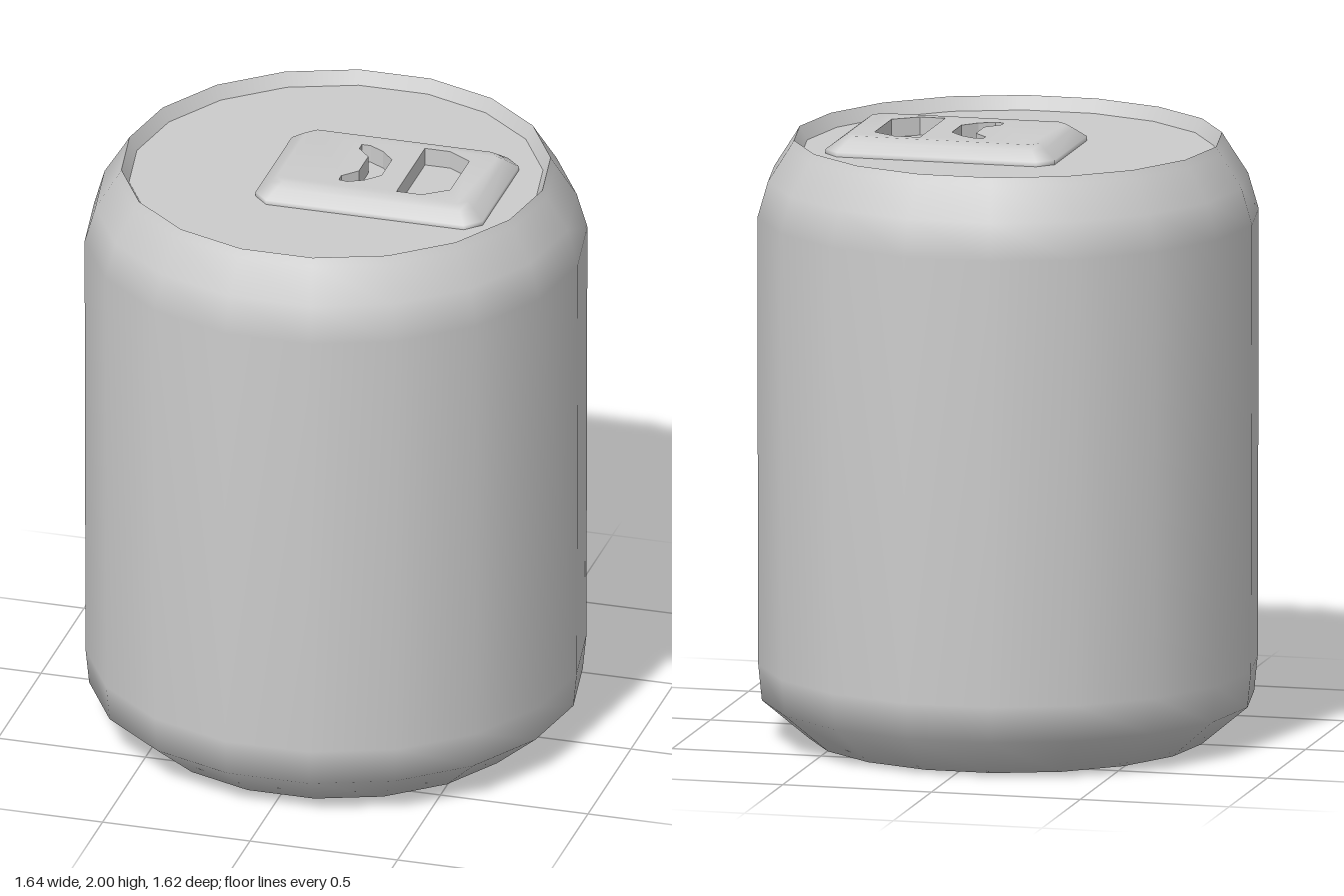
import * as THREE from 'three';
import { mergeVertices, mergeGeometries } from 'three/addons/utils/BufferGeometryUtils.js';

const SIDES = 18, LID_Y = 1.94, TOP_Y = 2;
const material = new THREE.MeshStandardMaterial({ color: 0xcccccc });

function addMesh(group, name, geometry) {
  const mesh = new THREE.Mesh(geometry, material);
  mesh.name = name;
  group.add(mesh);
}

// Turned part with a corner on the x axis; profile is [radius, height]
function turned(profile) {
  const points = profile.map(([r, y]) => new THREE.Vector2(r, y));
  return new THREE.LatheGeometry(points, SIDES, Math.PI / 2);
}

// Skin between stacked rings; each ring is { y, points: [x, -z] }
function loft(rings) {
  const n = rings[0].points.length, position = [], index = [];
  for (const { y, points } of rings) for (const [x, d] of points) position.push(x, y, -d);
  for (let k = 0; k < rings.length - 1; k++) {
    for (let i = 0; i < n; i++) {
      const a = k * n + i, b = k * n + (i + 1) % n;
      index.push(a, b, b + n, a, b + n, a + n);
    }
  }
  const geometry = new THREE.BufferGeometry();
  geometry.setAttribute('position', new THREE.Float32BufferAttribute(position, 3));
  geometry.setIndex(index);
  return geometry;
}

// Rectangular tab outline with cut corners, shrunk by an inset
function tabOutline(inset, cut) {
  const l = -0.21 + inset, r = 0.56 - inset, b = -0.265 + inset, t = 0.255 - inset;
  return [[l + cut, b], [r - cut, b], [r, b + cut], [r, t - cut],
    [r - cut, t], [l + cut, t], [l, t - cut], [l, b + cut]];
}

export function createModel() {
  const can = new THREE.Group();
  can.name = 'can';

  // Shell, rim wall and sunken lid
  addMesh(can, 'body', turned([[0, 0], [0.65, 0], [0.805, 0.13], [0.817, 0.25],
    [0.82, 1.73], [0.785, 1.85], [0.715, 1.96], [0.7, 1.985]]));
  addMesh(can, 'rimWall', turned([[0.7, 1.985], [0.675, LID_Y]]));
  addMesh(can, 'lid', turned([[0.675, LID_Y], [0, LID_Y]]));

  // Pull tab: finger hole and crescent slot, both listed clockwise
  const holes = [
    [[0.255, 0.16], [0.34, 0.16], [0.42, 0.11], [0.42, -0.11], [0.34, -0.17], [0.255, -0.17]],
    [[0.05, 0.13], [0.08, 0.13], [0.13, 0.1], [0.175, 0.05], [0.175, -0.07], [0.13, -0.12],
      [0.08, -0.145], [0.05, -0.14], [0.05, -0.11], [0.095, -0.06], [0.095, 0.05], [0.05, 0.1]],
  ];
  const toVectors = (points) => points.map(([x, d]) => new THREE.Vector2(x, d));
  const topOutline = tabOutline(0.06, 0.03);
  const shape = new THREE.Shape(toVectors(topOutline));
  shape.holes = holes.map((h) => new THREE.Path(toVectors(h)));
  const top = new THREE.ShapeGeometry(shape).rotateX(-Math.PI / 2).translate(0, TOP_Y, 0);
  top.deleteAttribute('normal');
  top.deleteAttribute('uv');

  // Rounded skirt welded to the top so the shading flows over the edge
  const skirt = loft([
    { y: LID_Y, points: tabOutline(0, 0.05) },
    { y: 1.955, points: tabOutline(0, 0.05) },
    { y: 1.985, points: tabOutline(0.04, 0.035) },
    { y: TOP_Y, points: topOutline },
  ]);
  const tab = mergeVertices(mergeGeometries([top, skirt]), 1e-3);
  tab.computeVertexNormals();
  const pullTab = new THREE.Group();
  pullTab.name = 'pullTab';
  addMesh(pullTab, 'tabPlate', tab);

  // Sharp walls inside the holes
  holes.forEach((points, i) => {
    const wall = loft([{ y: LID_Y, points }, { y: TOP_Y, points }]).toNonIndexed();
    wall.computeVertexNormals();
    addMesh(pullTab, i === 0 ? 'fingerHoleWall' : 'crescentSlotWall', wall);
  });
  can.add(pullTab);
  return can;
}
